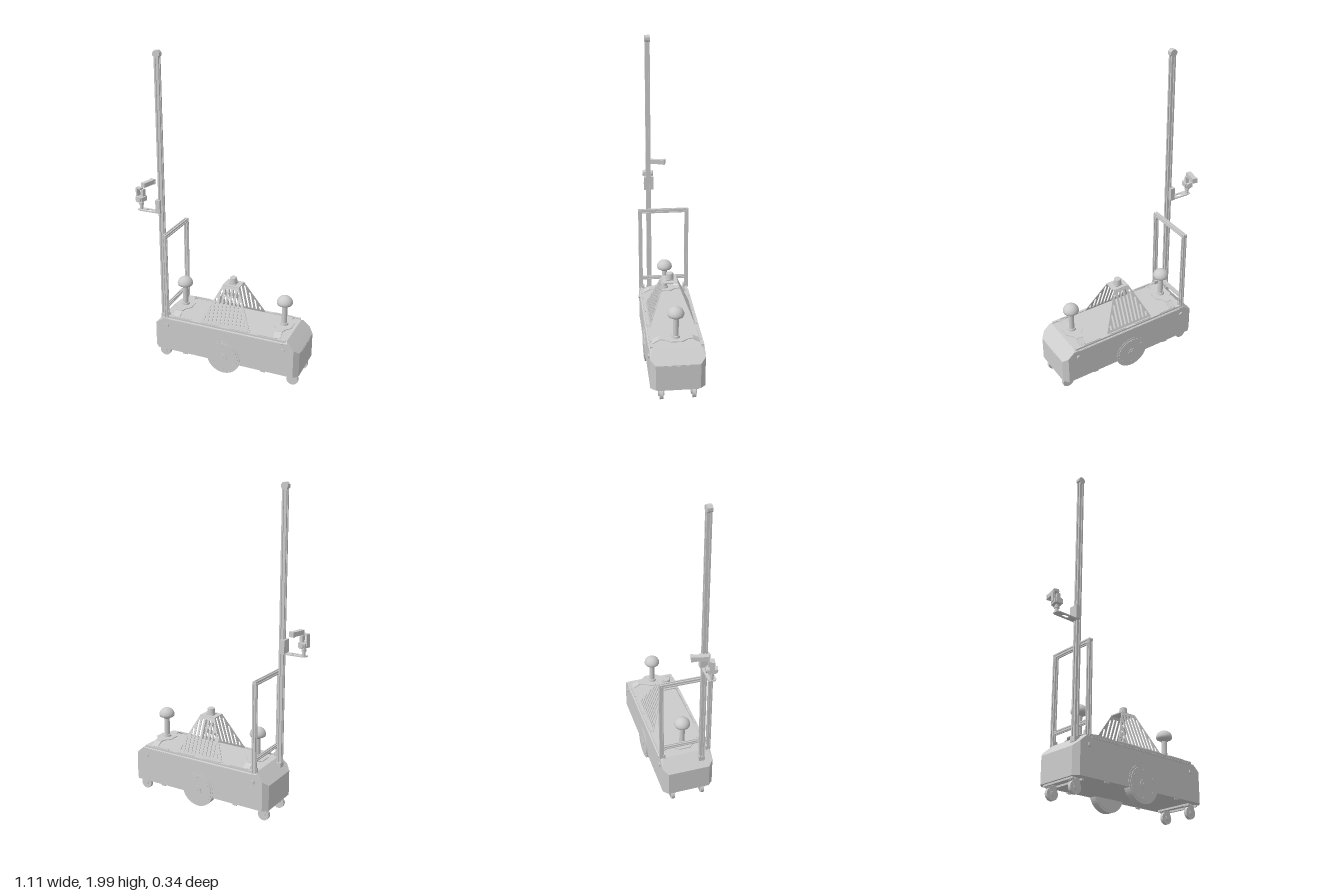
import * as THREE from 'three';
import { ConvexGeometry } from 'three/addons/geometries/ConvexGeometry.js';

const mat = new THREE.MeshStandardMaterial({ color: 0xcccccc, flatShading: true });
const smooth = new THREE.MeshStandardMaterial({ color: 0xcccccc });

export function createModel() {
  const root = new THREE.Group();
  root.name = 'mobileRobot';

  const add = (name, geo, x = 0, y = 0, z = 0, parent = root, m = mat) => {
    const mesh = new THREE.Mesh(geo, m);
    mesh.name = name;
    mesh.position.set(x, y, z);
    parent.add(mesh);
    return mesh;
  };
  const group = (name, x = 0, y = 0, z = 0, parent = root) => {
    const g = new THREE.Group();
    g.name = name;
    g.position.set(x, y, z);
    parent.add(g);
    return g;
  };
  const box = (w, h, d) => new THREE.BoxGeometry(w, h, d);
  const cyl = (r1, r2, h, n = 24) => new THREE.CylinderGeometry(r1, r2, h, n);
  const disc = (r, d, n = 24) => cyl(r, r, d, n).rotateX(Math.PI / 2);
  const poly = pts => new THREE.Shape(pts.map(p => new THREE.Vector2(p[0], p[1])));
  const extrude = (shape, depth) =>
    new THREE.ExtrudeGeometry(shape, { depth, bevelEnabled: false, curveSegments: 20 });

  // Slotted aluminium profile, centred, running along z
  const profile = (w, len) => {
    const h = w / 2, s = w * 0.16, d = w * 0.22, pts = [];
    for (let i = 0; i < 4; i++) {
      const a = i * Math.PI / 2, c = Math.cos(a), n = Math.sin(a);
      for (const [x, y] of [[-h, -h], [-s, -h], [-s, -h + d], [s, -h + d], [s, -h]])
        pts.push([x * c - y * n, x * n + y * c]);
    }
    return extrude(poly(pts), len).translate(0, 0, -len / 2);
  };

  // Chassis: box with chamfered ends and corners
  const hull = [];
  for (const s of [-1, 1]) {
    for (const [x, y] of [[-0.39, 0.09], [-0.39, 0.278], [-0.348, 0.314], [0.483, 0.314], [0.525, 0.278], [0.525, 0.09]])
      hull.push(new THREE.Vector3(x, y, s * 0.162));
    for (const x of [-0.42, 0.554])
      for (const y of [0.09, 0.25]) hull.push(new THREE.Vector3(x, y, s * 0.132));
    for (const x of [-0.34, 0.475]) hull.push(new THREE.Vector3(x, 0.325, s * 0.142));
  }
  add('chassis', new ConvexGeometry(hull));
  add('frontSeam', box(0.004, 0.006, 0.17), 0.554, 0.262 - 0.02, 0.01);

  for (const s of [-1, 1]) {
    // Top rails and panel screws
    const side = s > 0 ? 'left' : 'right';
    add(side + 'Rail', box(0.80, 0.012, 0.016), 0.068, 0.324, s * 0.149);
    add(side + 'EdgeStrip', box(0.76, 0.007, 0.006), 0.068, 0.309, s * 0.163);
    for (const x of [-0.22, -0.03, 0.16, 0.35])
      add(side + 'RailClip', box(0.12, 0.005, 0.008), x, 0.332, s * 0.149);
    for (const x of [-0.325, 0.455])
      add(side + 'PanelScrew', disc(0.013, 0.01, 16), x, 0.265, s * 0.165);
    for (const x of [-0.2, 0.33])
      add(side + 'PanelTab', box(0.03, 0.012, 0.006), x, 0.087, s * 0.157);

    // Drive wheel with hub and bolts
    const wheel = group(side + 'DriveWheel', 0.065, 0.124, s * 0.142);
    add('tyre', disc(0.111, 0.044, 48), 0, 0, 0, wheel);
    add('rim', disc(0.098, 0.05, 40), 0, 0, 0, wheel);
    add('hub', disc(0.027, 0.056, 24), 0, 0, 0, wheel);
    add('axle', disc(0.01, 0.06, 12), 0, 0, 0, wheel);
    for (let i = 0; i < 6; i++) {
      const a = i * Math.PI / 3 + 0.5;
      add('bolt', disc(0.007, 0.053, 8), 0.08 * Math.cos(a), 0.08 * Math.sin(a), 0, wheel);
    }

    // Casters
    for (const x of [-0.37, 0.505]) {
      const c = group(side + 'Caster', x, 0.042, s * 0.097);
      add('casterWheel', disc(0.037, 0.02, 28), 0, 0, 0, c);
      add('casterHub', disc(0.014, 0.036, 14), 0, 0, 0, c);
      for (const t of [-1, 1])
        add('forkCheek', extrude(poly([[-0.03, 0.036], [0.024, 0.036], [0.012, -0.012], [-0.012, -0.012]]), 0.003),
          0, 0, t * 0.0145 - 0.0015, c);
      add('forkTop', box(0.054, 0.005, 0.032), -0.003, 0.038, 0, c);
      add('swivel', cyl(0.02, 0.02, 0.012, 20), 0, 0.045, 0, c);
    }
  }
  // Caster mounting bars under both ends
  for (const x of [-0.37, 0.505])
    for (const dx of [-0.032, 0.032])
      add('casterBar', box(0.012, 0.012, 0.25), x + dx, 0.085, 0);

  // Dome antennas on bridge brackets
  for (const x of [-0.268, 0.408]) {
    const a = group('domeAntenna', x, 0, 0);
    const outline = [[-0.022, -0.1], [0.022, -0.1], [0.03, -0.065], [0.057, -0.035], [0.057, 0.035],
      [0.03, 0.065], [0.022, 0.1], [-0.022, 0.1], [-0.03, 0.065], [-0.057, 0.035], [-0.057, -0.035], [-0.03, -0.065]];
    add('bracketPlate', extrude(poly(outline), 0.005).rotateX(-Math.PI / 2), 0, 0.35, 0, a);
    for (const s of [-1, 1]) {
      const leg = add('bracketLeg', box(0.046, 0.005, 0.048), 0, 0.34, s * 0.118, a);
      leg.rotation.x = s * 0.5;
    }
    add('stemCollar', cyl(0.024, 0.026, 0.015), 0, 0.36, 0, a, smooth);
    add('stem', cyl(0.017, 0.017, 0.14), 0, 0.43, 0, a, smooth);
    const dome = [[0, 0.48], [0.022, 0.48], [0.03, 0.488], [0.046, 0.494], [0.05, 0.503]];
    for (let i = 1; i <= 8; i++) {
      const t = i * Math.PI / 16;
      dome.push([0.05 * Math.cos(t), 0.503 + 0.047 * Math.sin(t)]);
    }
    add('dome', new THREE.LatheGeometry(dome.map(p => new THREE.Vector2(Math.max(p[0], 0), p[1])), 32), 0, 0, 0, a, smooth);
  }

  // Sensor tower: two leaning slotted grilles, open at the ends
  const tower = group('sensorTower', 0.067, 0.328, 0);
  const L = Math.hypot(0.235, 0.095), lean = Math.atan2(0.095, 0.235);
  const b = 0.167, t = 0.054;
  for (const turn of [0, Math.PI]) {
    const shape = poly([[-b, 0], [b, 0], [t, L], [-t, L]]);
    for (let i = -5; i <= 5; i++) {
      const u = i * 0.0265, w = 0.0065;
      const top = Math.min(L - 0.018, L * (b - Math.abs(u) - w - 0.007) / (b - t));
      if (top < 0.03) continue;
      shape.holes.push(new THREE.Path([[u - w, 0.016], [u - w, top], [u + w, top], [u + w, 0.016]]
        .map(p => new THREE.Vector2(p[0], p[1]))));
    }
    const face = group('grilleFace', 0, 0, 0, tower);
    face.rotation.y = turn;
    add('grille', extrude(shape, 0.004), 0, 0, 0.137, face).rotation.x = -lean;
  }
  add('towerTop', box(0.11, 0.006, 0.09), 0, 0.236, 0, tower);
  add('scannerBase', box(0.046, 0.008, 0.046), 0, 0.242, 0, tower);
  add('scanner', cyl(0.022, 0.025, 0.036), 0, 0.263, 0, tower, smooth);
  add('scannerCap', cyl(0.019, 0.022, 0.004), 0, 0.282, 0, tower, smooth);

  // Push frame
  const frame = group('pushFrame', -0.329, 0, 0);
  for (const s of [-1, 1])
    add('framePost', profile(0.024, 0.565).rotateX(Math.PI / 2), 0, 0.6025, s * 0.152, frame);
  add('frameTopBar', profile(0.024, 0.328), 0, 0.875, 0, frame);
  add('frameLowerBar', profile(0.02, 0.28), 0, 0.4, 0, frame);
  for (const s of [-1, 1])
    add('frameFoot', box(0.03, 0.03, 0.014), 0, 0.335, s * 0.137, frame);

  // Tall mast with cap
  const mast = group('mast', -0.373, 0, 0.093);
  add('mastPost', profile(0.03, 1.69).rotateX(Math.PI / 2), 0, 1.125, 0, mast);
  add('mastCap', disc(0.023, 0.032, 8).rotateZ(Math.PI / 8), 0, 1.977, 0, mast);
  add('mastFoot', box(0.034, 0.03, 0.04), 0, 0.3, 0, mast);

  // Camera arm clamped to the mast
  const arm = group('cameraArm', 0, 0, 0.09);
  add('mastClamp', box(0.03, 0.085, 0.06), -0.388, 1.05, 0, arm);
  const plate = poly([[-0.535, -0.016], [-0.52, -0.024], [-0.385, -0.024], [-0.385, 0.024], [-0.52, 0.024], [-0.535, 0.016]]);
  plate.holes.push(new THREE.Path([[-0.485, 0], [-0.473, 0.012], [-0.447, 0.012], [-0.435, 0], [-0.447, -0.012], [-0.473, -0.012]]
    .map(p => new THREE.Vector2(p[0], p[1]))));
  add('armPlate', extrude(plate, 0.006).rotateX(-Math.PI / 2), 0, 1.005, 0, arm);

  // Gimbal and camera, turned slightly
  const gimbal = group('gimbal', -0.518, 0, 0.085);
  gimbal.rotation.y = -0.22;
  add('gimbalPost', cyl(0.009, 0.012, 0.06, 16), 0, 1.035, 0, gimbal);
  add('gimbalCollar', cyl(0.015, 0.015, 0.014, 16), 0, 1.045, 0, gimbal);
  add('gimbalBase', box(0.05, 0.028, 0.05), 0, 1.077, 0, gimbal);
  add('gimbalMotor', disc(0.018, 0.068, 16), 0, 1.077, 0, gimbal);
  add('gimbalSide', box(0.012, 0.07, 0.028), -0.026, 1.11, 0, gimbal);
  add('gimbalArm', box(0.02, 0.045, 0.022), 0.008, 1.115, -0.008, gimbal);
  add('gimbalTop', box(0.036, 0.01, 0.028), -0.012, 1.142, 0, gimbal);
  add('cameraBody', box(0.03, 0.028, 0.1), 0.002, 1.158, -0.065, gimbal);
  add('cameraRim', box(0.034, 0.032, 0.012), 0.002, 1.158, -0.11, gimbal);

  return root;
}
